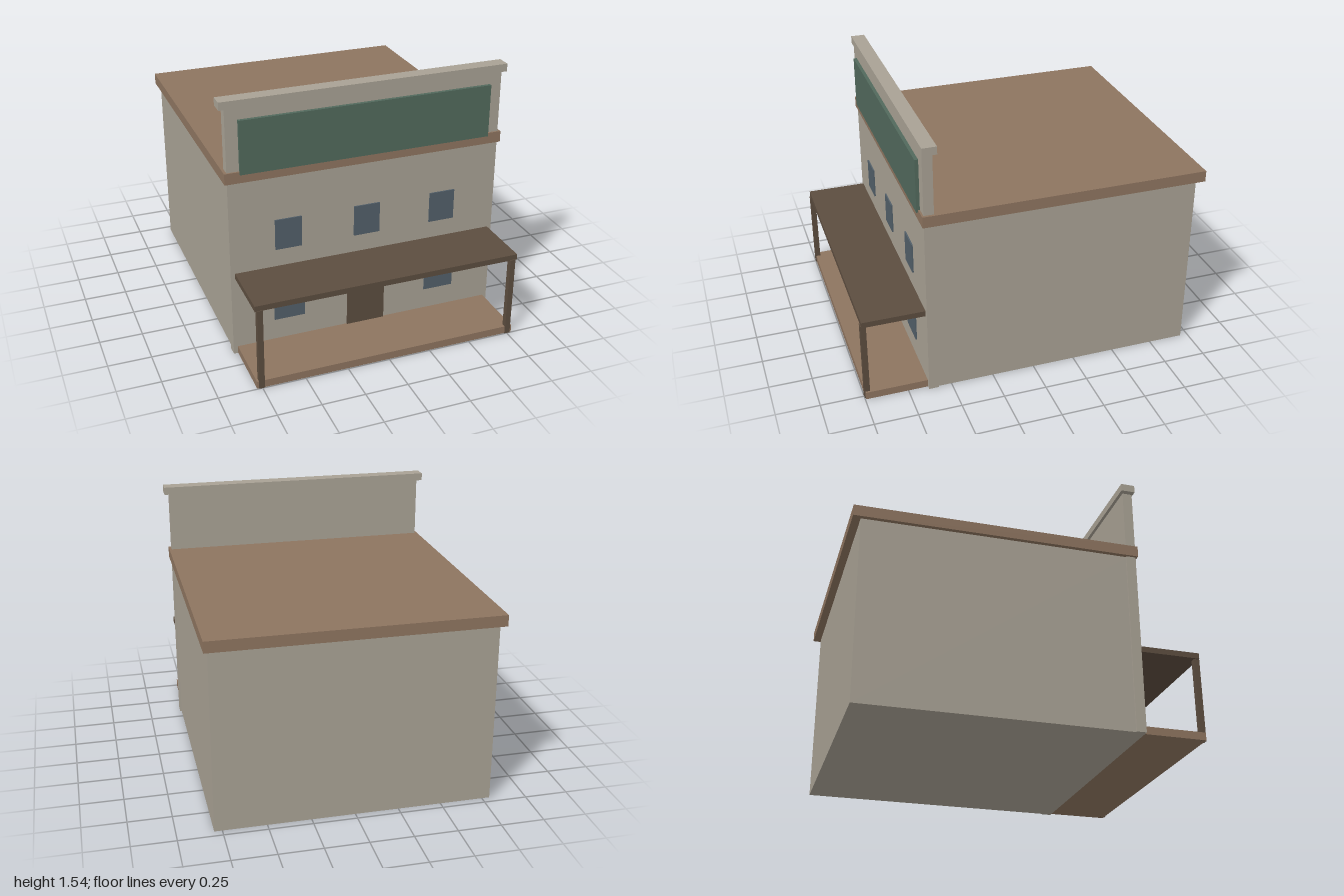
import * as THREE from 'three';

const material = (name, color) => {
  const m = new THREE.MeshStandardMaterial({ color });
  m.name = name;
  return m;
};

export function createModel() {
  const model = new THREE.Group();
  model.name = 'storefrontBuilding';

  const plaster = material('greyPlaster', 0xa8a194);
  const timber = material('brownTimber', 0x8d745f);
  const darkWood = material('darkWood', 0x5c4d3f);
  const glass = material('blueGlass', 0x525f69);
  const green = material('greenPaint', 0x51695c);

  // Box given by its extents along each axis
  const block = (name, mat, [x0, x1], [y0, y1], [z0, z1]) => {
    const mesh = new THREE.Mesh(new THREE.BoxGeometry(x1 - x0, y1 - y0, z1 - z0), mat);
    mesh.position.set((x0 + x1) / 2, (y0 + y1) / 2, (z0 + z1) / 2);
    mesh.name = name;
    model.add(mesh);
  };
  const wide = (half) => [-half, half];
  const around = (x, width) => [x - width / 2, x + width / 2];

  // Main building and flat roof
  block('body', plaster, wide(0.795), [0, 1.07], [-0.955, 0.59]);
  block('roof', timber, wide(0.82), [1.07, 1.135], [-1, 0.645]);

  // False front with cap and blank sign board
  block('falseFront', plaster, wide(0.805), [0, 1.495], [0.578, 0.635]);
  block('cap', plaster, wide(0.835), [1.495, 1.54], [0.56, 0.642]);
  block('signBoard', green, wide(0.735), [1.12, 1.43], [0.635, 0.655]);

  // Windows and door
  const face = [0.634, 0.643];
  for (const x of [-0.467, 0, 0.467]) block('upperWindow', glass, around(x, 0.155), [0.627, 0.81], face);
  for (const x of [-0.467, 0.467]) block('lowerWindow', glass, around(x, 0.182), [0.175, 0.37], face);
  block('door', darkWood, wide(0.115), [0.045, 0.412], face);

  // Porch
  block('porchDeck', timber, wide(0.78), [0, 0.045], [0.635, 0.995]);
  block('porchRoof', darkWood, wide(0.78), [0.487, 0.52], [0.635, 0.995]);
  for (const side of [-1, 1]) block('porchPost', darkWood, around(side * 0.753, 0.032), [0, 0.49], [0.968, 1]);

  return model;
}
